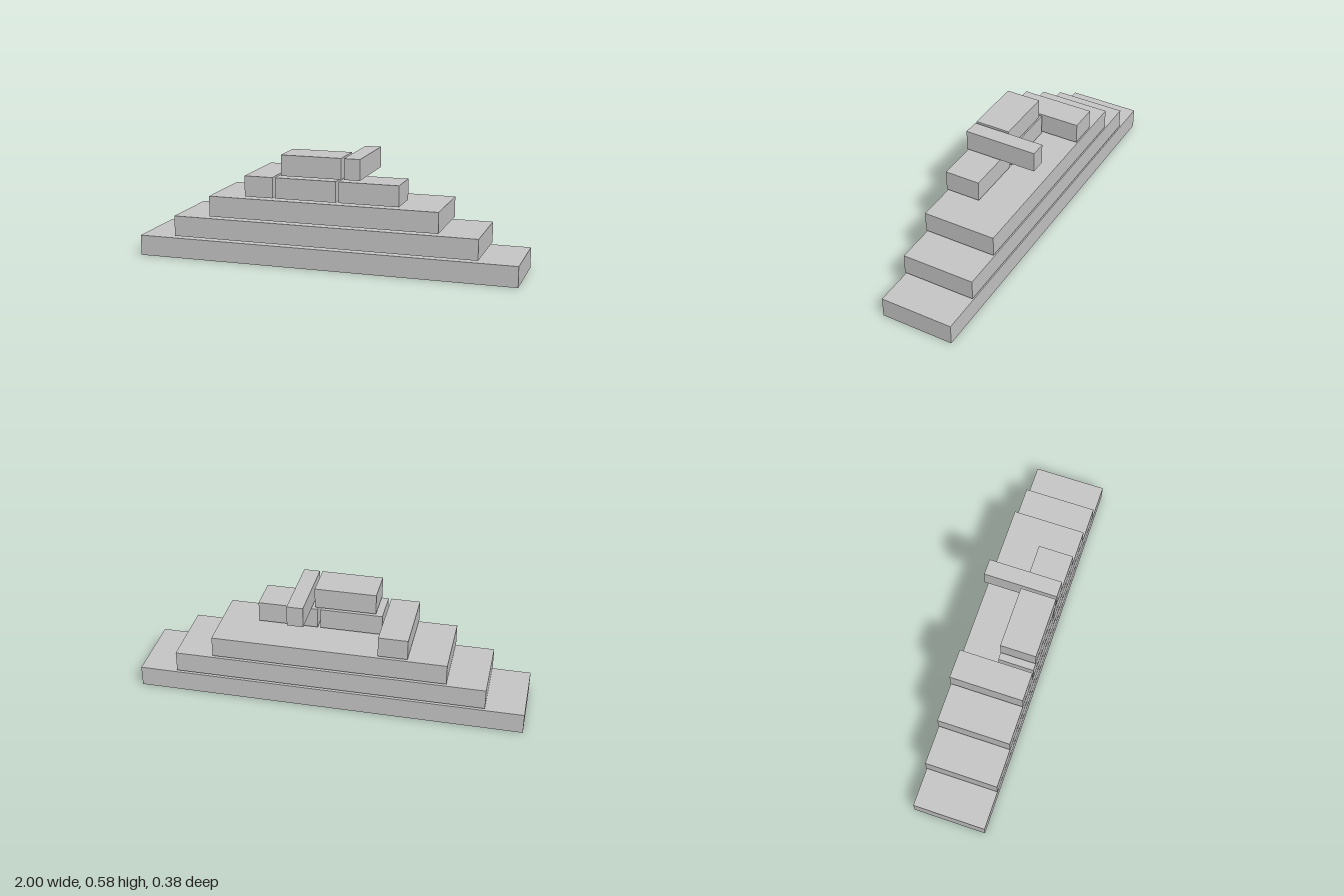
import * as THREE from 'three';

const HEIGHT = 0.107;   // block thickness
const PITCH = 0.1187;   // layer spacing, leaving a thin gap between layers
const FRONT = 0.19, BACK = -0.19, MIDDLE = 0.007;

// name, layer, left x, right x, back z
const BLOCKS = [
  ['bottomSlab', 0, -1, 1, BACK],
  ['secondSlab', 1, -0.802, 0.802, BACK],
  ['thirdSlab', 2, -0.603, 0.603, BACK],
  ['fourthRightBlock', 3, -0.405, -0.255, BACK],
  ['fourthMiddleBlock', 3, -0.241, 0.079, MIDDLE],
  ['fourthLeftBlock', 3, 0.094, 0.404, MIDDLE],
  ['topRightBlock', 4, -0.208, 0.108, MIDDLE],
  ['topLeftBlock', 4, 0.122, 0.205, BACK],
];

export function createModel() {
  const model = new THREE.Group();
  model.name = 'steppedBlocks';
  const stone = new THREE.MeshStandardMaterial({ color: 0xc8c8c8 });
  stone.name = 'light grey';

  for (const [name, layer, x0, x1, z0] of BLOCKS) {
    const block = new THREE.Mesh(new THREE.BoxGeometry(x1 - x0, HEIGHT, FRONT - z0), stone);
    block.name = name;
    block.position.set((x0 + x1) / 2, layer * PITCH + HEIGHT / 2, (z0 + FRONT) / 2);
    model.add(block);
  }
  return model;
}
